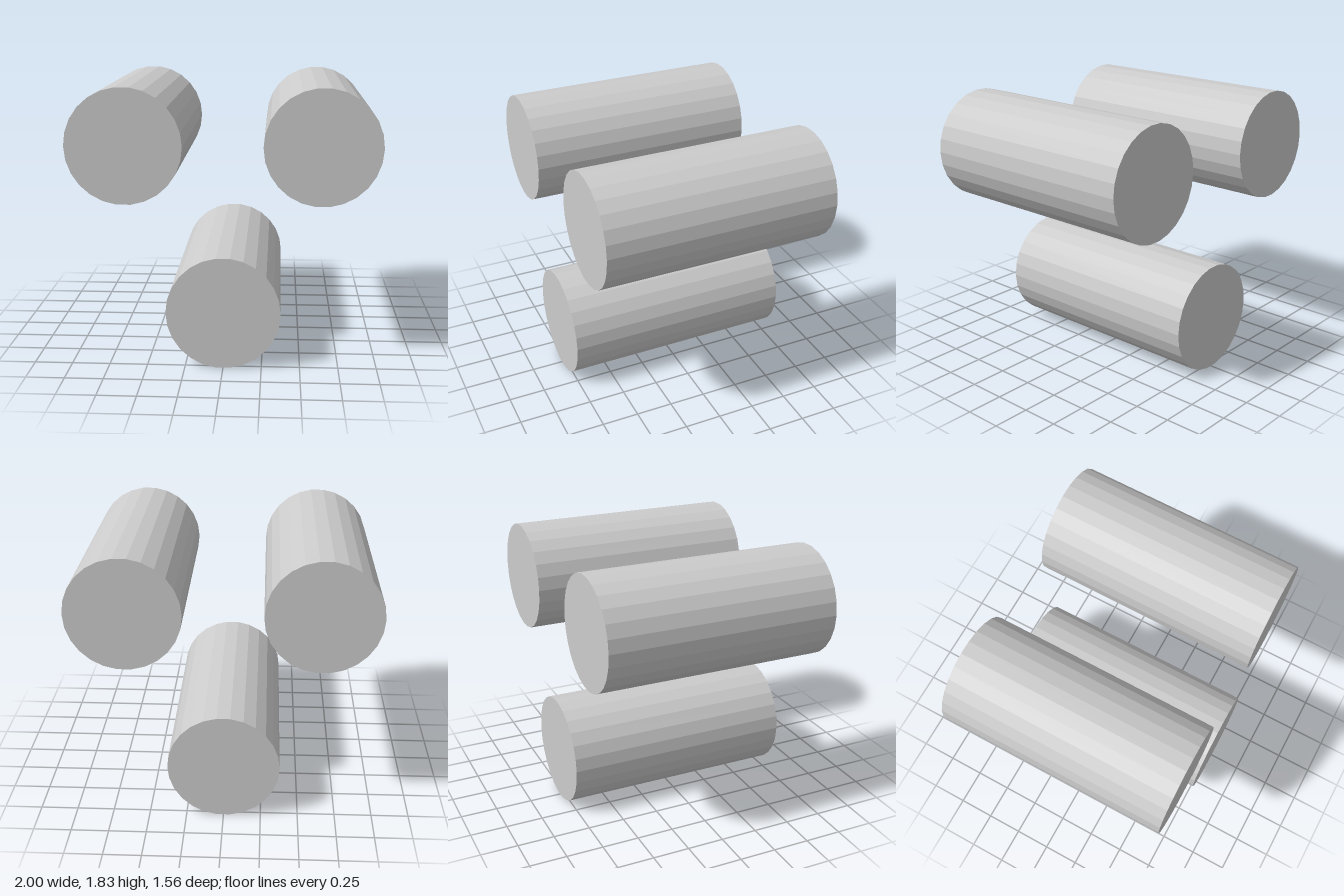
import * as THREE from 'three';

const RADIUS = 0.373, LENGTH = 1.56, SIDES = 26;

export function createModel() {
  const group = new THREE.Group();
  const material = new THREE.MeshStandardMaterial({ color: 0xcccccc, flatShading: true });

  // Faceted log lying along z, with a corner on each side
  const log = new THREE.CylinderGeometry(RADIUS, RADIUS, LENGTH, SIDES, 1, false, Math.PI / 2);
  log.rotateX(Math.PI / 2);

  // Two upper logs and one centred below them
  const places = [
    ['upperLeftCylinder', 0.627, 1.458],
    ['upperRightCylinder', -0.627, 1.458],
    ['lowerCylinder', 0, 0.371],
  ];
  for (const [name, x, y] of places) {
    const mesh = new THREE.Mesh(log, material);
    mesh.name = name;
    mesh.position.set(x, y, 0);
    group.add(mesh);
  }
  return group;
}
